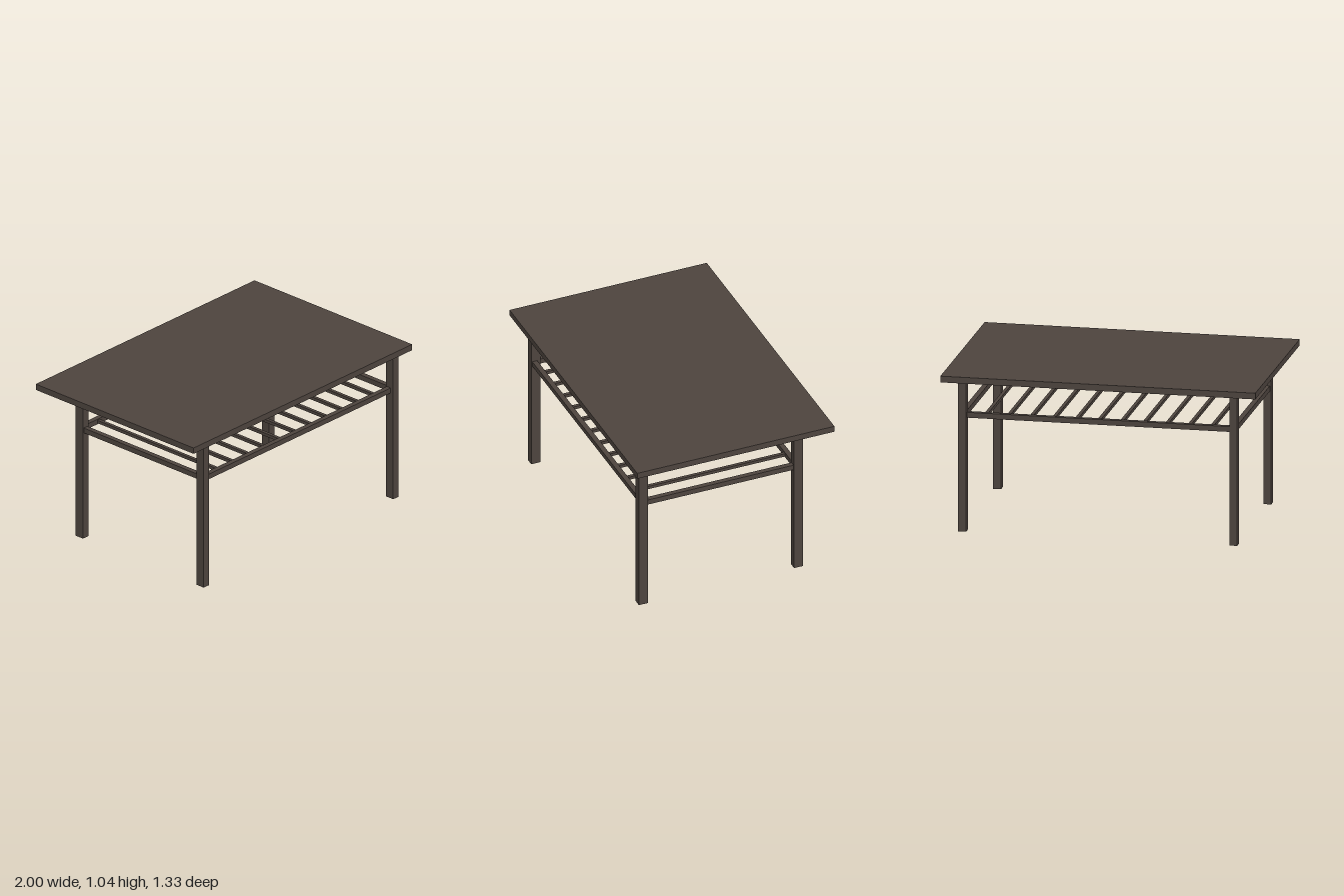
import * as THREE from 'three';

export function createModel() {
  const group = new THREE.Group();
  const darkWood = new THREE.MeshStandardMaterial({ color: 0x4d443e });

  // Box spanned by its minimum and maximum on each axis
  function box(name, [x0, x1], [y0, y1], [z0, z1]) {
    const mesh = new THREE.Mesh(new THREE.BoxGeometry(x1 - x0, y1 - y0, z1 - z0), darkWood);
    mesh.position.set((x0 + x1) / 2, (y0 + y1) / 2, (z0 + z1) / 2);
    mesh.name = name;
    group.add(mesh);
  }

  box('tableTop', [-1, 1], [1, 1.04], [-0.667, 0.667]);

  // Legs: the left pair stands slightly wider apart than the right pair
  const leftX = [0.874, 0.924], rightX = [-0.844, -0.794], height = [0, 1];
  box('frontLeftLeg', leftX, height, [0.562, 0.623]);
  box('backLeftLeg', leftX, height, [-0.488, -0.427]);
  box('frontRightLeg', rightX, height, [0.548, 0.609]);
  box('backRightLeg', rightX, height, [-0.475, -0.413]);

  // Shelf frame between the legs
  const railY = [0.728, 0.762];
  box('frontRail', [-0.794, 0.874], railY, [0.569, 0.602]);
  box('backRail', [-0.794, 0.874], railY, [-0.467, -0.434]);
  box('leftRail', [0.883, 0.916], railY, [-0.427, 0.562]);
  box('rightRail', [-0.836, -0.803], railY, [-0.413, 0.548]);

  // Evenly spaced shelf slats
  const slats = 11;
  for (let i = 1; i <= slats; i++) {
    const x = -0.82 + (1.72 * i) / (slats + 1);
    box('shelfSlat' + i, [x - 0.011, x + 0.011], [0.735, 0.755], [-0.434, 0.569]);
  }
  return group;
}
